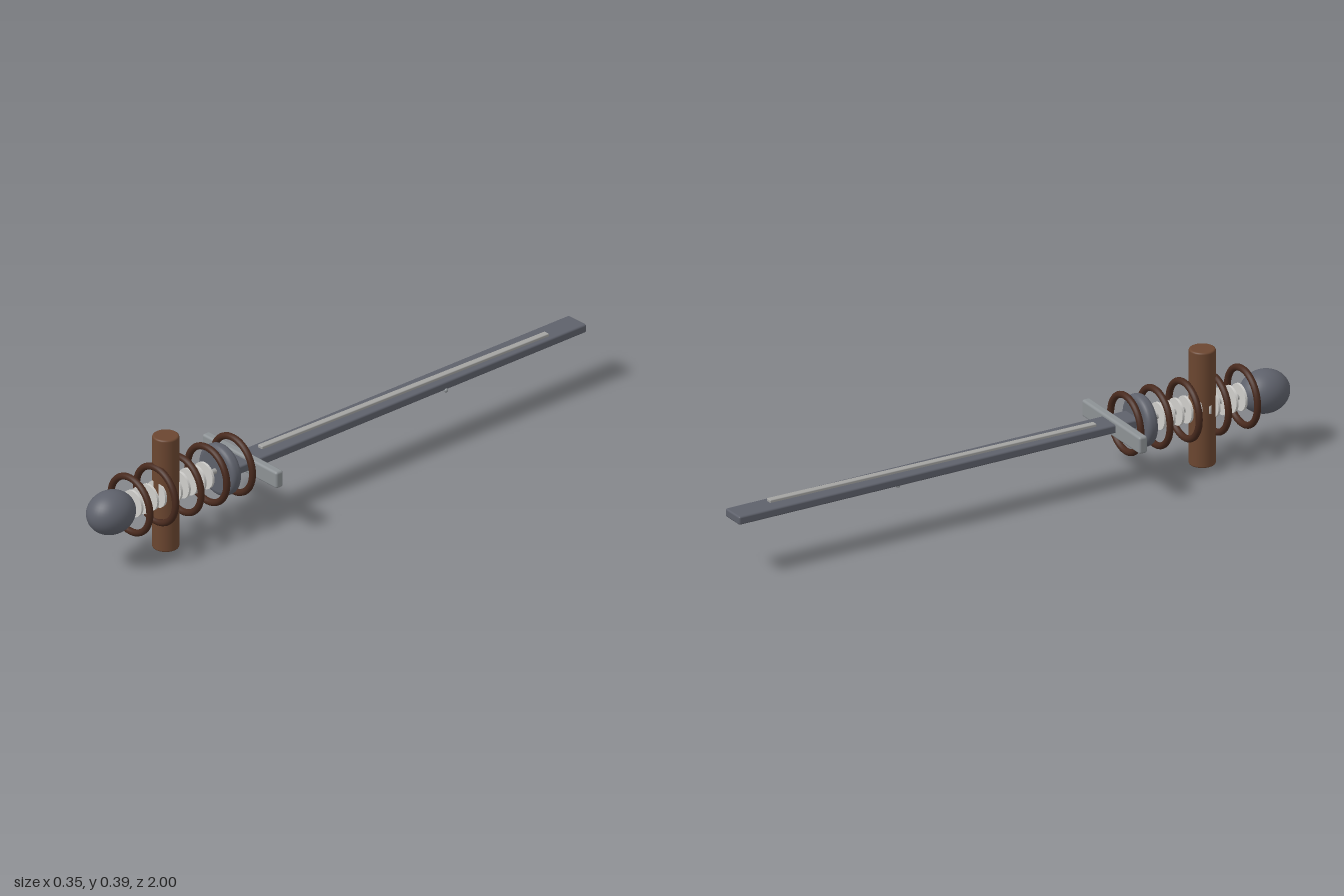
import * as THREE from 'three';
import { RoundedBoxGeometry } from 'three/addons/geometries/RoundedBoxGeometry.js';

const AXIS_Y = 0.194; // height of the long axis

function mat(name, color) {
  const m = new THREE.MeshStandardMaterial({ color });
  m.name = name;
  return m;
}

export function createModel() {
  const steel = mat('dark steel', 0x5e616b);
  const guardGrey = mat('guard grey', 0x8c9194);
  const fullerGrey = mat('fuller grey', 0xa3a3a1);
  const paleGrey = mat('pale grey', 0xcfcecb);
  const wood = mat('wood brown', 0x6b4630);
  const leather = mat('dark leather', 0x47291d);
  const orange = mat('orange', 0xd0561f);

  const model = new THREE.Group();
  model.name = 'sword';
  const add = (name, geo, material, x, y, z) => {
    const mesh = new THREE.Mesh(geo, material);
    mesh.name = name;
    mesh.position.set(x, y, z);
    model.add(mesh);
    return mesh;
  };
  // Solid of revolution with rounded rims, centred on the origin
  const roundedDisc = (radius, height, bevel, segments = 40) => {
    const h = height / 2;
    const pts = [new THREE.Vector2(0, -h)];
    for (const [cy, from] of [[-h + bevel, -Math.PI / 2], [h - bevel, 0]]) {
      if (from === -Math.PI / 2) pts.push(new THREE.Vector2(radius - bevel - 0.0005, -h));
      for (let i = 0; i <= 5; i++) {
        const a = from + (i / 5) * Math.PI / 2;
        pts.push(new THREE.Vector2(radius - bevel + Math.cos(a) * bevel, cy + Math.sin(a) * bevel));
      }
    }
    pts.push(new THREE.Vector2(radius - bevel - 0.0005, h), new THREE.Vector2(0, h));
    return new THREE.LatheGeometry(pts, segments);
  };

  // Blade, slightly askew, running back through the guard
  const blade = add('blade', new RoundedBoxGeometry(0.084, 0.028, 1.455, 3, 0.006), steel, -0.002, 0.198, -0.272);
  blade.rotation.y = 0.0197;
  add('fuller', new RoundedBoxGeometry(0.022, 0.012, 1.17, 2, 0.003), fullerGrey, 0, 0.215, -0.275);

  // Small studs beneath the blade
  const stud = add('orangeStud', new THREE.SphereGeometry(0.017, 20, 14), orange, 0, 0.185, -0.126);
  stud.scale.y = 0.8;
  for (const side of [-1, 1]) {
    add('smallStud', new THREE.SphereGeometry(0.007, 14, 10), guardGrey, side * 0.036, 0.183, -0.417);
  }

  // Cross guard
  add('guard', new RoundedBoxGeometry(0.352, 0.057, 0.03, 3, 0.008), guardGrey, 0, AXIS_Y, 0.38);

  // Collar at the head of the grip
  add('collar', roundedDisc(0.085, 0.04, 0.016), steel, 0, AXIS_Y, 0.472).rotation.x = Math.PI / 2;

  // Grip core with a row of thin discs
  const core = new THREE.CylinderGeometry(0.009, 0.009, 0.42, 16).rotateX(Math.PI / 2);
  add('gripCore', core, fullerGrey, 0, AXIS_Y, 0.65);
  const disc = new THREE.CylinderGeometry(0.044, 0.044, 0.008, 32).rotateX(Math.PI / 2);
  for (let i = 0; i < 10; i++) {
    add('gripDisc', disc, paleGrey, 0, AXIS_Y, 0.537 + i * 0.0322);
  }

  // Large hoops around the grip
  const hoop = new THREE.TorusGeometry(0.092, 0.011, 14, 48);
  for (let i = 0; i < 5; i++) {
    add('hoop', hoop, leather, 0, AXIS_Y, 0.42 + i * 0.1045);
  }

  // Upright wooden handle
  add('uprightHandle', roundedDisc(0.042, 0.387, 0.006), wood, 0, 0.1935, 0.694);

  // Pommel
  const pommel = add('pommel', new THREE.SphereGeometry(0.07, 36, 24), steel, 0, AXIS_Y, 0.917);
  pommel.scale.z = 1.18;

  return model;
}
